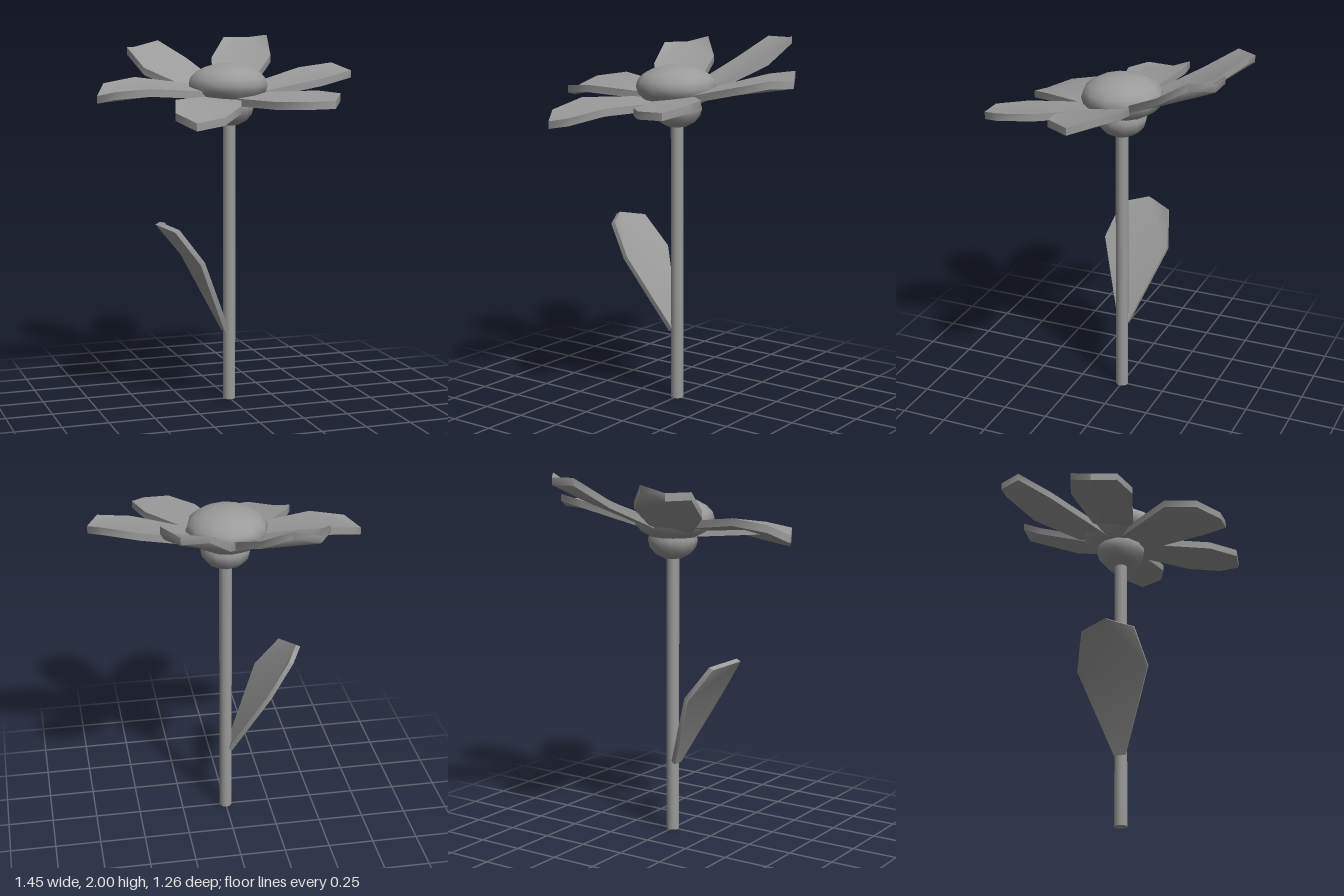
import * as THREE from 'three';
import { toCreasedNormals } from 'three/addons/utils/BufferGeometryUtils.js';

const material = new THREE.MeshStandardMaterial({ color: 0x9b9b9b });
const V = (x, y, z) => new THREE.Vector3(x, y, z);

// Thick cupped blade from rows of { centre, side }; the last row is the tip.
function blade(rows, thickness) {
  const [a, b, c, tip] = rows;
  const right = (r) => r.centre.clone().sub(r.side);
  const left = (r) => r.centre.clone().add(r.side);
  const top = [right(a), right(b), right(c), tip.centre, left(c), left(b), left(a)];
  const bottom = top.map((p) => p.clone().add(thickness));
  const positions = [];
  const tri = (...corners) => corners.forEach((p) => positions.push(p.x, p.y, p.z));
  // The shoulders fold up along lines from the widest points to the tip
  for (const [i, j, k] of [[0, 1, 5], [0, 5, 6], [1, 3, 5], [1, 2, 3], [3, 4, 5]]) {
    tri(top[i], top[j], top[k]);
    tri(bottom[k], bottom[j], bottom[i]);
  }
  top.forEach((p, i) => {
    const j = (i + 1) % top.length;
    tri(bottom[i], bottom[j], top[j]);
    tri(bottom[i], top[j], p);
  });
  const geometry = new THREE.BufferGeometry();
  geometry.setAttribute('position', new THREE.Float32BufferAttribute(positions, 3));
  return toCreasedNormals(geometry, 0.9);
}

export function createModel() {
  const group = new THREE.Group();
  const add = (name, geometry, x = 0, y = 0, z = 0) => {
    const mesh = new THREE.Mesh(geometry, material);
    mesh.name = name;
    mesh.position.set(x, y, z);
    group.add(mesh);
    return mesh;
  };

  // Stem and the bulb under the flower
  add('stem', new THREE.CylinderGeometry(0.035, 0.035, 1.58, 12), 0, 0.79, 0);
  add('bulb', new THREE.SphereGeometry(1, 12, 8), 0, 1.625, 0).scale.set(0.135, 0.105, 0.135);

  // Domed flower centre
  const centre = add('flowerCentre', new THREE.SphereGeometry(1, 12, 10), -0.007, 1.742, 0);
  centre.scale.set(0.218, 0.118, 0.22);

  // Petals: direction in degrees, reach, sideways slope,
  // then height at base, widest point, shoulder and tip
  const petals = [
    [-0.8, 1, 0.14, 1.70, 1.80, 1.833, 1.81],
    [60, 1, 0.13, 1.69, 1.70, 1.70, 1.685],
    [121, 1, -0.08, 1.68, 1.675, 1.625, 1.59],
    [180.8, 1, -0.14, 1.72, 1.76, 1.738, 1.695],
    [239.5, 0.975, -0.14, 1.69, 1.85, 1.953, 1.935],
    [297.5, 0.975, -0.05, 1.70, 1.88, 1.994, 1.985],
  ];
  const reach = [0.06, 0.478, 0.66, 0.724];
  const halfWidth = [0.085, 0.171, 0.126, 0];
  for (const [degrees, scale, slope, ...heights] of petals) {
    const angle = THREE.MathUtils.degToRad(degrees);
    const cos = Math.cos(angle), sin = Math.sin(angle);
    const across = V(sin, slope, -cos);
    const rows = heights.map((y, i) => ({
      centre: V(cos * reach[i] * scale - 0.004, y, sin * reach[i] * scale),
      side: across.clone().multiplyScalar(halfWidth[i]),
    }));
    add('petal', blade(rows, V(0, -0.04, 0)));
  }

  // Single leaf leaning out to the right
  const leafRows = [
    [-0.01, 0.395, 0.03], [-0.2, 0.81, 0.19], [-0.325, 0.985, 0.14], [-0.395, 1.013, 0],
  ].map(([x, y, w]) => ({ centre: V(x, y, 0), side: V(0, 0, w) }));
  add('leaf', blade(leafRows, V(-0.024, -0.013, 0)));

  return group;
}
